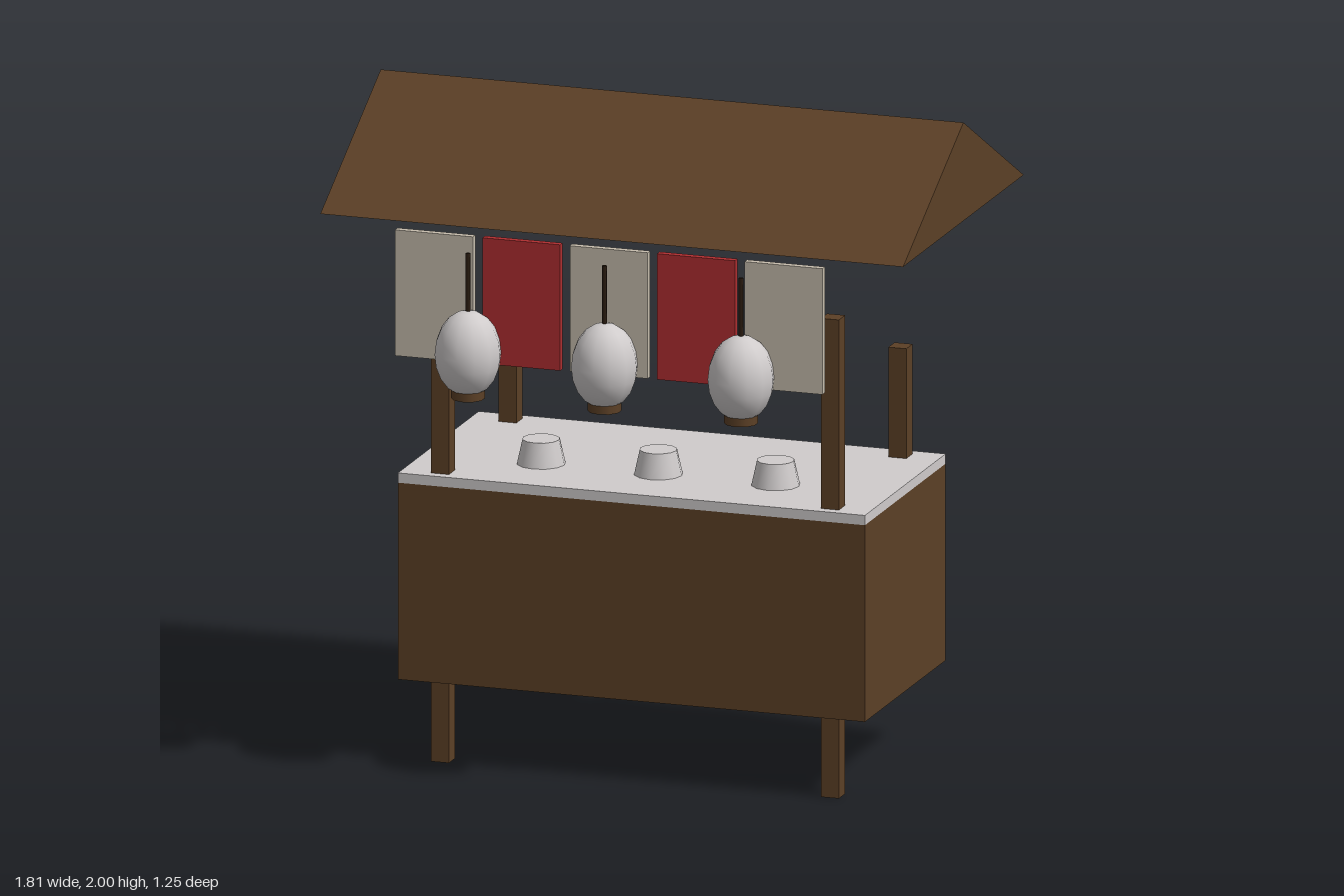
import * as THREE from 'three';

const mat = (name, color) => {
  const m = new THREE.MeshStandardMaterial({ color });
  m.name = name;
  return m;
};

export function createModel() {
  const wood = mat('brown wood', 0x5c4026);
  const pale = mat('pale grey', 0xd0cccc);
  const beige = mat('beige cloth', 0xc6bdad);
  const red = mat('red cloth', 0xb02e30);
  const dark = mat('dark cord', 0x2a1c10);

  const model = new THREE.Group();
  model.name = 'marketStall';

  const add = (name, geometry, material, x = 0, y = 0, z = 0, parent = model) => {
    const mesh = new THREE.Mesh(geometry, material);
    mesh.name = name;
    mesh.position.set(x, y, z);
    parent.add(mesh);
    return mesh;
  };
  // Box given by its lower and upper corners
  const box = (name, material, [x0, y0, z0], [x1, y1, z1]) =>
    add(name, new THREE.BoxGeometry(x1 - x0, y1 - y0, z1 - z0), material,
      (x0 + x1) / 2, (y0 + y1) / 2, (z0 + z1) / 2);

  // Counter body, worktop and pale back face
  box('counterBody', wood, [-0.727, 0.25, -0.437], [0.727, 0.85, 0.287]);
  box('worktop', pale, [-0.727, 0.85, -0.437], [0.727, 0.88, 0.287]);
  box('backPanel', pale, [-0.727, 0.25, -0.44], [0.727, 0.88, -0.437]);

  // Tall front posts and short back posts
  for (const side of [-1, 1]) {
    const x = side * 0.607;
    box('frontPost', wood, [x - 0.028, 0, 0.2], [x + 0.028, 1.46, 0.256]);
    box('backPost', wood, [x - 0.028, 0.3, -0.408], [x + 0.028, 1.215, -0.352]);
  }

  // Gabled roof: a triangle in (z, y) extruded along x
  const gable = new THREE.Shape([
    new THREE.Vector2(-0.465, 1.7),
    new THREE.Vector2(0.622, 1.7),
    new THREE.Vector2(0.079, 2),
  ]);
  const roof = new THREE.ExtrudeGeometry(gable, { depth: 1.814, bevelEnabled: false });
  roof.translate(0, 0, -0.907).rotateY(Math.PI / 2);
  add('roof', roof, wood);

  // Row of hanging cloth panels in alternating colours
  for (let i = -2; i <= 2; i++) {
    const x = i * 0.272;
    box('clothPanel', i % 2 ? red : beige, [x - 0.121, 1.296, 0.469], [x + 0.121, 1.68, 0.492]);
  }

  // Egg-shaped lanterns with a cord above and a wooden base below
  for (const x of [-0.425, 0, 0.425]) {
    const lantern = new THREE.Group();
    lantern.name = 'lantern';
    lantern.position.set(x, 1.335, 0.53);
    model.add(lantern);
    const shade = new THREE.SphereGeometry(0.1, 12, 10);
    shade.scale(1, 1.3, 1);
    add('lanternShade', shade, pale, 0, 0, 0, lantern);
    add('lanternBase', new THREE.CylinderGeometry(0.05, 0.05, 0.04, 10), wood, 0, -0.117, 0, lantern);
    add('lanternCord', new THREE.CylinderGeometry(0.007, 0.007, 0.2, 6), dark, 0, 0.205, 0, lantern);
  }

  // Upturned bowls on the worktop
  for (const x of [-0.365, 0, 0.365]) {
    add('bowl', new THREE.CylinderGeometry(0.056, 0.073, 0.075, 12), pale, x, 0.9175, 0.045);
  }

  return model;
}
